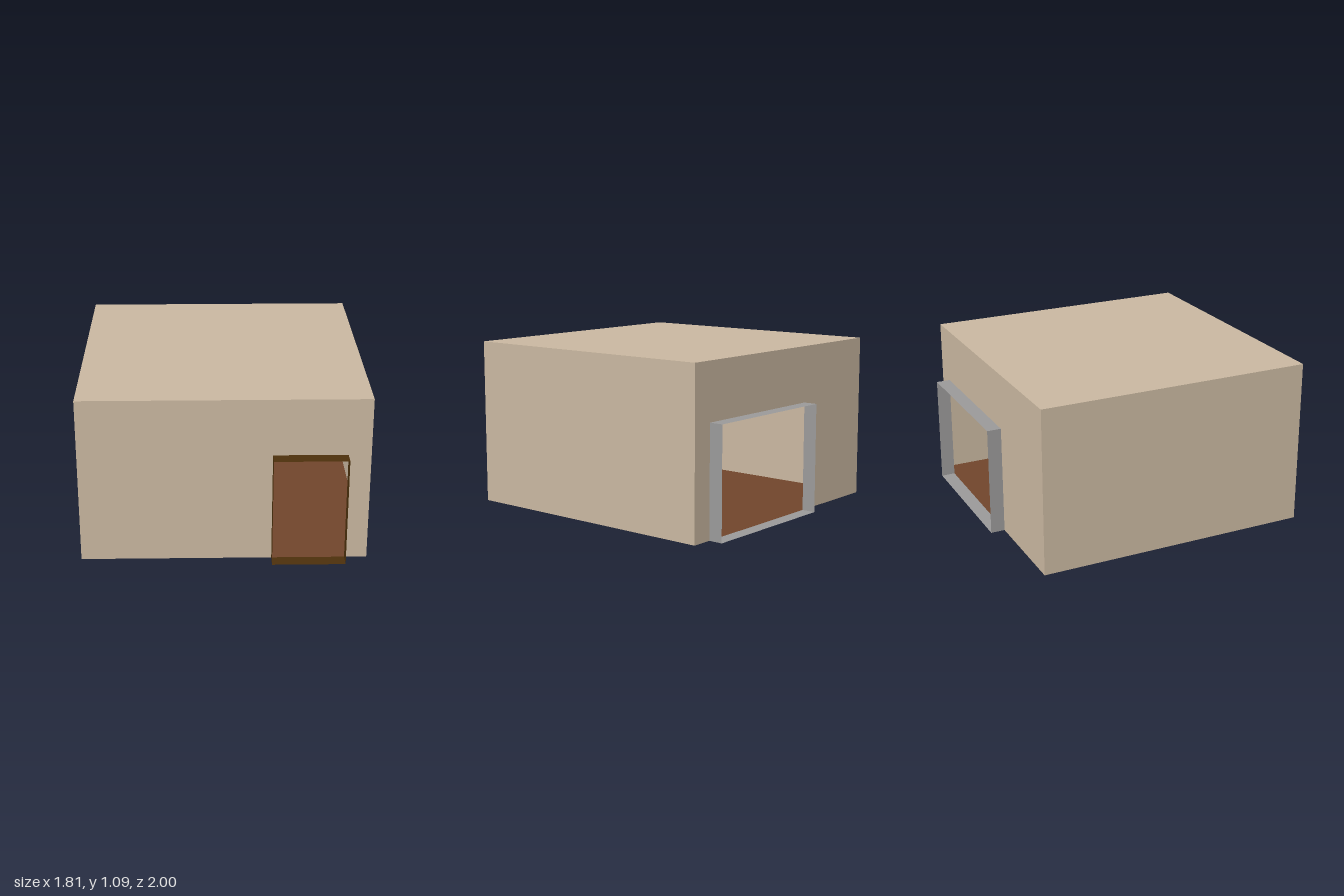
import * as THREE from 'three';

const HALF = 0.907, HEIGHT = 1.09, OPEN_TOP = 0.72, DEPTH = 1;

function paint(name, color) {
  const m = new THREE.MeshStandardMaterial({ color, side: THREE.DoubleSide });
  m.name = name;
  return m;
}

export function createModel() {
  const plaster = paint('tan plaster', 0xc9b7a0);
  const wood = paint('brown floor wood', 0x70452b);
  const darkWood = paint('dark door wood', 0x4c300b);
  const metal = paint('grey window metal', 0x9a9999);

  const group = new THREE.Group();
  group.name = 'room';

  function add(name, geometry, material, parent = group) {
    const mesh = new THREE.Mesh(geometry, material);
    mesh.name = name;
    parent.add(mesh);
    return mesh;
  }

  // Flat sheet laid horizontally at height y
  function slab(name, x, y, z, w, d, material, parent) {
    const mesh = add(name, new THREE.PlaneGeometry(w, d).rotateX(-Math.PI / 2), material, parent);
    mesh.position.set(x, y, z);
  }

  // Flat sheet standing along z, facing the given x direction
  function upright(name, x, y, z, h, d, side, material, parent) {
    const mesh = add(name, new THREE.PlaneGeometry(d, h).rotateY(side * Math.PI / 2), material, parent);
    mesh.position.set(x, y, z);
  }

  // Wall with an opening that reaches the floor, plus its projecting sleeve frame
  function openWall(label, side, x0, x1, frameName, frameMaterial) {
    const shape = new THREE.Shape([
      [-HALF, 0], [x0, 0], [x0, OPEN_TOP], [x1, OPEN_TOP],
      [x1, 0], [HALF, 0], [HALF, HEIGHT], [-HALF, HEIGHT],
    ].map(([x, y]) => new THREE.Vector2(side * x, y)));
    const geometry = new THREE.ShapeGeometry(shape);
    if (side < 0) geometry.rotateY(Math.PI);
    add(label, geometry, plaster).position.z = side * HALF;

    const frame = new THREE.Group();
    frame.name = frameName;
    group.add(frame);
    const d = DEPTH - HALF, z = side * (HALF + d / 2), cx = (x0 + x1) / 2;
    slab('frameSill', cx, 0, z, x1 - x0, d, frameMaterial, frame);
    slab('frameHead', cx, OPEN_TOP, z, x1 - x0, d, frameMaterial, frame);
    upright('frameRightJamb', x0, OPEN_TOP / 2, z, OPEN_TOP, d, -1, frameMaterial, frame);
    upright('frameLeftJamb', x1, OPEN_TOP / 2, z, OPEN_TOP, d, 1, frameMaterial, frame);
  }

  // Floor, roof and solid side walls
  slab('floor', 0, 0, 0, HALF * 2, HALF * 2, wood);
  slab('roof', 0, HEIGHT, 0, HALF * 2, HALF * 2, plaster);
  upright('leftWall', HALF, HEIGHT / 2, 0, HEIGHT, HALF * 2, 1, plaster);
  upright('rightWall', -HALF, HEIGHT / 2, 0, HEIGHT, HALF * 2, -1, plaster);

  // Front wall with the doorway, back wall with the wide window
  openWall('frontWall', 1, 0.3, 0.765, 'doorFrame', darkWood);
  openWall('backWall', -1, -0.233, 0.765, 'windowFrame', metal);

  return group;
}
